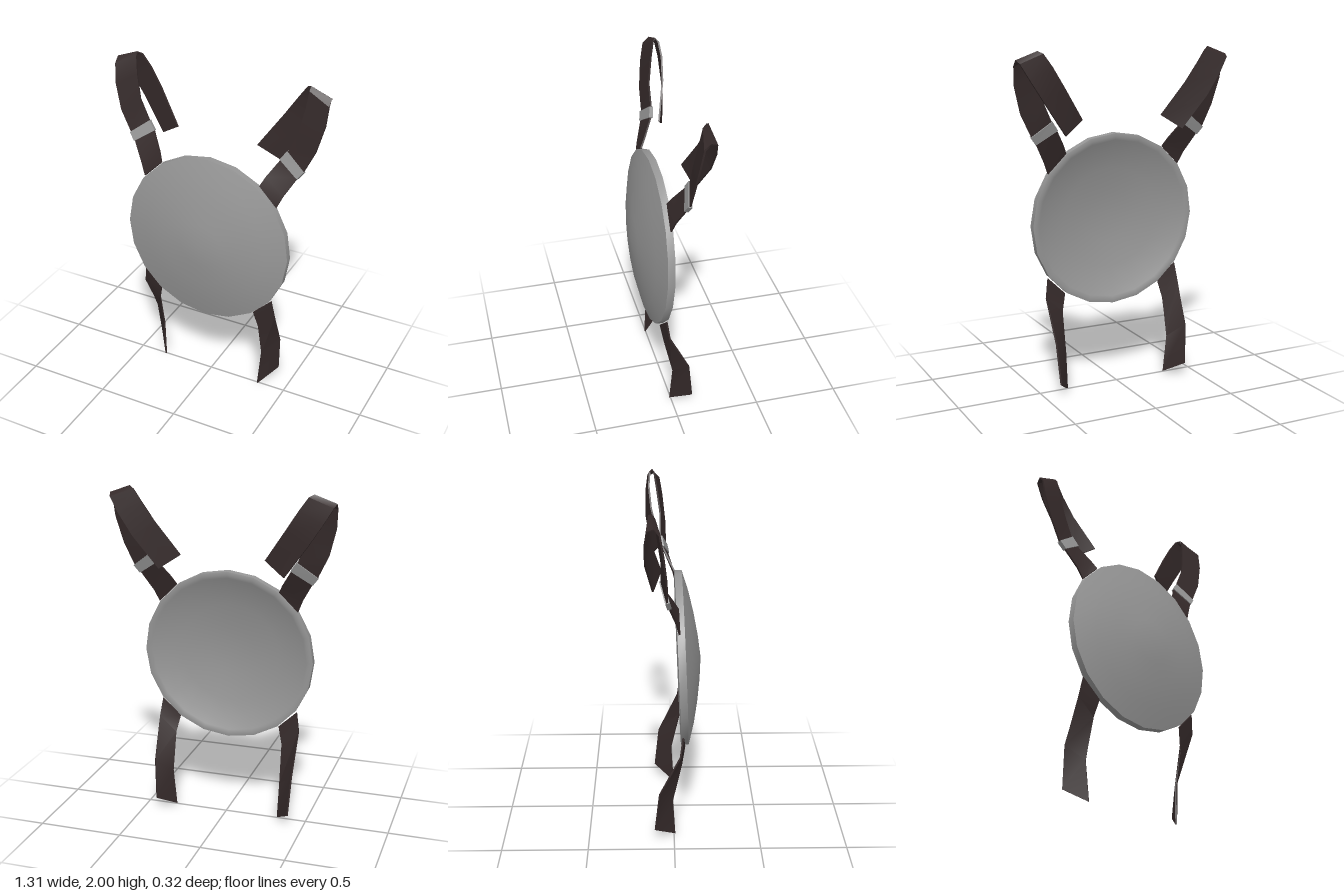
import * as THREE from 'three';
import { toCreasedNormals } from 'three/addons/utils/BufferGeometryUtils.js';

// Closed flat band swept through rows of [inner edge, outer edge] points.
function band(rows, thickness) {
  const pts = rows.map(([a, b]) => [new THREE.Vector3(...a), new THREE.Vector3(...b)]);
  const mids = pts.map(([a, b]) => a.clone().add(b).multiplyScalar(0.5));
  const pos = [], index = [];
  pts.forEach(([a, b], i) => {
    const last = mids.length - 1;
    const along = mids[Math.min(i + 1, last)].clone().sub(mids[Math.max(i - 1, 0)]);
    const n = b.clone().sub(a).cross(along).setLength(thickness / 2);
    for (const p of [a.clone().add(n), b.clone().add(n), b.clone().sub(n), a.clone().sub(n)]) pos.push(p.x, p.y, p.z);
    if (i < last) {
      for (let k = 0; k < 4; k++) {
        const p = i * 4 + k, q = i * 4 + (k + 1) % 4;
        index.push(p, q, q + 4, p, q + 4, p + 4);
      }
    }
  });
  const e = (pts.length - 1) * 4;
  index.push(0, 2, 1, 0, 3, 2, e, e + 1, e + 2, e, e + 2, e + 3);
  const geo = new THREE.BufferGeometry();
  geo.setAttribute('position', new THREE.Float32BufferAttribute(pos, 3));
  geo.setIndex(index);
  return toCreasedNormals(geo, 0.5);
}

// Mirror a row list to -x, swapping edges so the faces stay outward.
const mirror = rows => rows.map(([a, b]) => [[-b[0], b[1], b[2]], [-a[0], a[1], a[2]]]);

export function createModel() {
  const group = new THREE.Group();
  const metal = new THREE.MeshStandardMaterial({ color: 0x969696 });
  metal.name = 'grey metal';
  const leather = new THREE.MeshStandardMaterial({ color: 0x352a2a });
  leather.name = 'dark brown leather';
  const add = (name, geo, mat) => {
    const mesh = new THREE.Mesh(geo, mat);
    mesh.name = name;
    group.add(mesh);
    return mesh;
  };

  // Domed plate, hollow at the back, with a narrow rim
  const profile = [
    [0, 0.095], [0.15, 0.086], [0.3, 0.062], [0.41, 0.034], [0.475, 0.008], [0.495, 0],
    [0.515, 0.003], [0.515, 0.045], [0.39, 0.08], [0.26, 0.106], [0.13, 0.125], [0, 0.137],
  ].map(([r, y]) => new THREE.Vector2(r, y));
  const plate = add('plate', toCreasedNormals(new THREE.LatheGeometry(profile, 20), 0.6), metal);
  plate.rotation.x = Math.PI / 2 - 0.037;
  plate.position.set(0, 0.995, 0.024);

  // Shoulder strap: up from the plate, over the top and down behind
  const shoulder = [
    [[0.31, 1.41, 0.022], [0.42, 1.3, 0.028]],
    [[0.335, 1.46, -0.005], [0.45, 1.37, 0.012]],
    [[0.4, 1.56, -0.06], [0.515, 1.485, -0.028]],
    [[0.435, 1.61, -0.07], [0.545, 1.525, -0.04]],
    [[0.49, 1.735, -0.07], [0.608, 1.656, -0.043]],
    [[0.52, 1.88, -0.09], [0.648, 1.81, -0.06]],
    [[0.53, 1.975, -0.105], [0.655, 1.92, -0.078]],
    [[0.53, 1.996, -0.118], [0.655, 1.95, -0.11]],
    [[0.505, 1.985, -0.132], [0.645, 1.935, -0.143]],
    [[0.455, 1.915, -0.138], [0.595, 1.85, -0.155]],
    [[0.38, 1.8, -0.125], [0.51, 1.72, -0.155]],
    [[0.25, 1.61, -0.072], [0.37, 1.53, -0.116]],
  ];
  // Buckle around the front of the shoulder strap
  const buckle = [
    [[0.395, 1.56, -0.06], [0.516, 1.48, -0.027]],
    [[0.433, 1.613, -0.071], [0.55, 1.525, -0.039]],
  ];
  // Waist strap: hangs down and bends back
  const waist = [
    [[0.31, 0.575, 0.06], [0.42, 0.68, 0.05]],
    [[0.335, 0.47, 0.042], [0.438, 0.565, 0.035]],
    [[0.34, 0.235, -0.01], [0.428, 0.32, -0.085]],
    [[0.325, 0.004, 0.005], [0.413, 0.08, -0.112]],
  ];
  for (const [side, place] of [['left', r => r], ['right', mirror]]) {
    add(side + 'ShoulderStrap', band(place(shoulder), 0.01), leather);
    add(side + 'Buckle', band(place(buckle), 0.024), metal);
    add(side + 'WaistStrap', band(place(waist), 0.01), leather);
  }
  return group;
}
